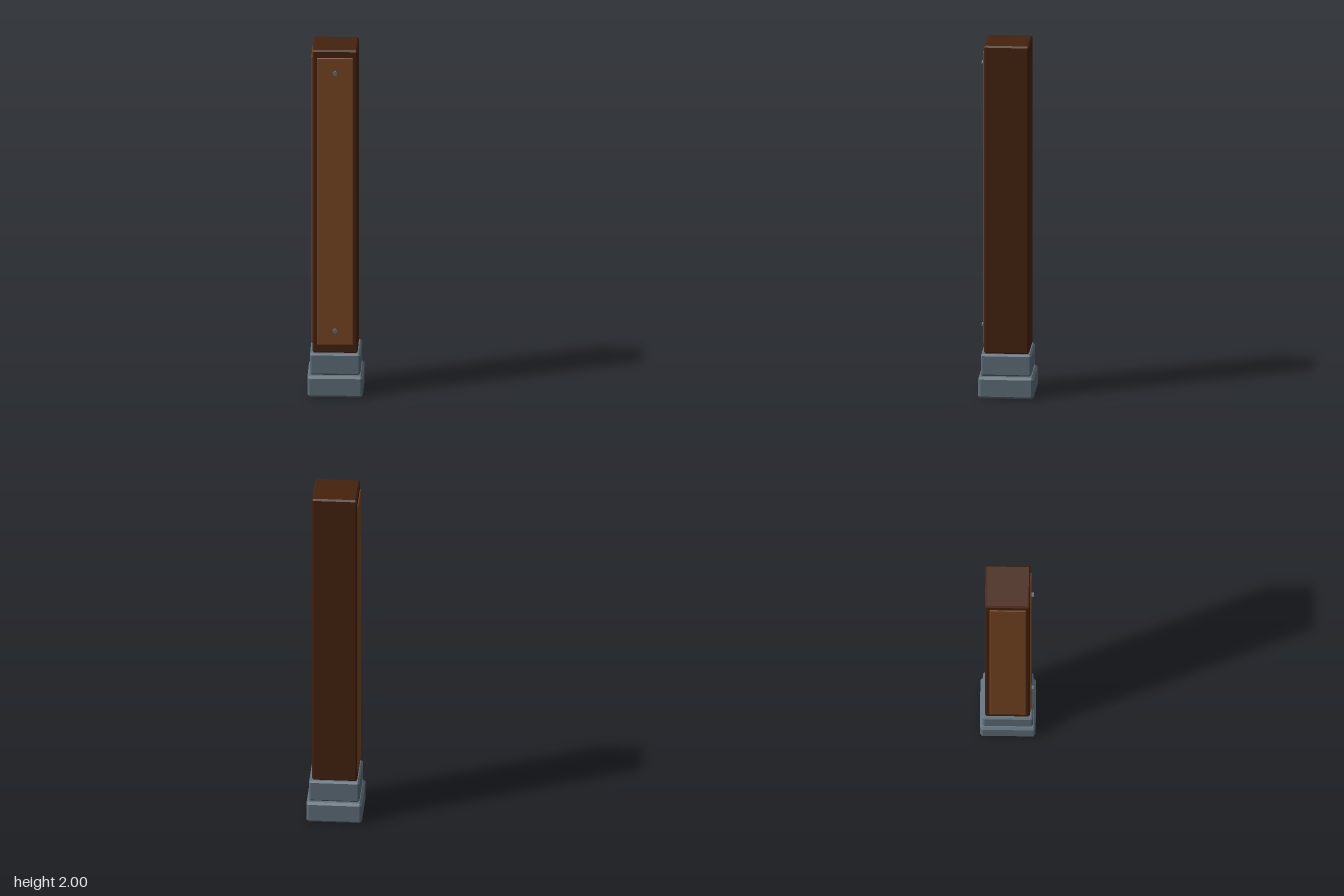
import * as THREE from 'three';
import { ConvexGeometry } from 'three/addons/geometries/ConvexGeometry.js';

const darkWood = new THREE.MeshStandardMaterial({ name: 'darkWood', color: 0x45220e });
const panelWood = new THREE.MeshStandardMaterial({ name: 'panelWood', color: 0x7a4722 });
const stone = new THREE.MeshStandardMaterial({ name: 'blueGreyStone', color: 0x5f6f7a });

// Box with every edge cut by a flat chamfer c
function chamferBox(w, h, d, c) {
  const x = w / 2, y = h / 2, z = d / 2;
  const points = [];
  for (const sx of [-1, 1]) for (const sy of [-1, 1]) for (const sz of [-1, 1]) {
    points.push(
      new THREE.Vector3(sx * x, sy * (y - c), sz * (z - c)),
      new THREE.Vector3(sx * (x - c), sy * y, sz * (z - c)),
      new THREE.Vector3(sx * (x - c), sy * (y - c), sz * z)
    );
  }
  return new ConvexGeometry(points);
}

export function createModel() {
  const model = new THREE.Group();
  model.name = 'woodenPost';

  function add(name, geometry, material, x, y, z) {
    const mesh = new THREE.Mesh(geometry, material);
    mesh.name = name;
    mesh.position.set(x, y, z);
    model.add(mesh);
    return mesh;
  }

  // Two stepped stone blocks
  add('lowerPlinth', chamferBox(0.306, 0.122, 0.306, 0.013), stone, 0, 0.061, 0);
  add('upperPlinth', chamferBox(0.278, 0.124, 0.278, 0.01), stone, 0, 0.187, 0);

  // Tall shaft
  add('shaft', chamferBox(0.248, 1.752, 0.248, 0.009), darkWood, -0.001, 1.124, -0.001);

  // Thin raised panels on the front and on the model's right side
  const panel = chamferBox(0.2, 1.66, 0.02, 0.004);
  add('frontPanel', panel, panelWood, -0.001, 1.127, 0.12);
  add('sidePanel', panel, panelWood, -0.122, 1.127, 0).rotation.y = -Math.PI / 2;

  // Octagonal bolts through the front panel
  const bolt = new THREE.CylinderGeometry(0.013, 0.013, 0.024, 8).toNonIndexed();
  bolt.rotateY(Math.PI / 8).rotateX(Math.PI / 2);
  bolt.computeVertexNormals();
  for (const [name, y] of [['lowerBolt', 0.382], ['upperBolt', 1.872]]) {
    add(name, bolt, stone, -0.001, y, 0.132);
  }
  return model;
}
